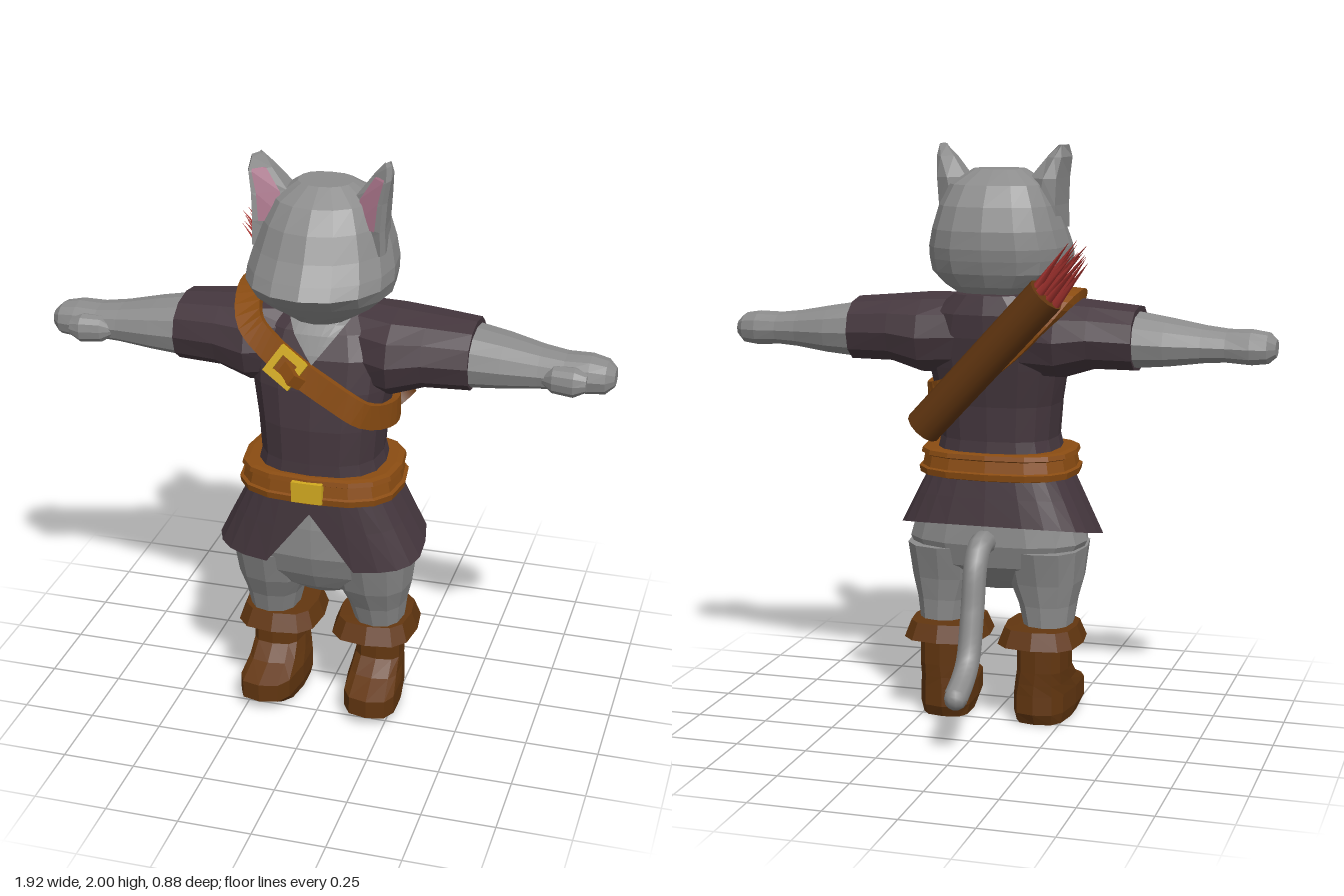
import * as THREE from 'three';

const mat = (name, color, side = THREE.FrontSide) => {
  const m = new THREE.MeshStandardMaterial({ color, side });
  m.name = name;
  return m;
};
const V = (x, y, z) => new THREE.Vector3(x, y, z);

// Rounded-box outline in the xz plane at height y
function ring(y, x0, x1, z0, z1, p = 2.5, n = 12, pFront = p) {
  return Array.from({ length: n }, (_, i) => {
    const a = (i / n) * Math.PI * 2, s = Math.sin(a), c = Math.cos(a);
    const e = 2 / (c > 0 ? pFront : p);
    return V((x0 + x1) / 2 + ((x1 - x0) / 2) * Math.sign(s) * Math.abs(s) ** e, y,
      (z0 + z1) / 2 + ((z1 - z0) / 2) * Math.sign(c) * Math.abs(c) ** e);
  });
}
// The same outline in the yz plane at position x
const ringX = (x, y0, y1, z0, z1, p = 2.3, n = 12) =>
  ring(x, y0, y1, z0, z1, p, n).map(v => V(v.y, v.x, v.z));

// Flat-faced geometry from triangles
function facets(tris) {
  const g = new THREE.BufferGeometry().setFromPoints(tris.flat());
  g.computeVertexNormals();
  return g;
}

// Capped skin over cross-sections, wound so that it faces outward
function loft(rings) {
  const tris = [], n = rings[0].length;
  for (let k = 0; k < rings.length - 1; k++) {
    for (let i = 0; i < n; i++) {
      const j = (i + 1) % n, a = rings[k], b = rings[k + 1];
      tris.push([a[i], a[j], b[j]], [a[i], b[j], b[i]]);
    }
  }
  [rings[0], rings[rings.length - 1]].forEach((r, end) => {
    const c = r.reduce((s, v) => s.add(v), V(0, 0, 0)).divideScalar(n);
    for (let i = 0; i < n; i++) {
      const j = (i + 1) % n;
      tris.push(end ? [c, r[i], r[j]] : [c, r[j], r[i]]);
    }
  });
  const volume = tris.reduce((s, [a, b, c]) => s + a.dot(b.clone().cross(c)), 0);
  return facets(volume < 0 ? tris.map(([a, b, c]) => [a, c, b]) : tris);
}

export function createModel() {
  const model = new THREE.Group();
  const fur = mat('grey fur', 0x8c8c8c), pink = mat('ear pink', 0xa9748a, THREE.DoubleSide);
  const cloth = mat('tunic cloth', 0x45373e, THREE.DoubleSide), belt = mat('belt leather', 0x8a4c12);
  const boot = mat('boot leather', 0x623610), gold = mat('buckle gold', 0xd2aa20);
  const red = mat('arrow red', 0xa83430);
  const furPlate = mat('chest fur', 0x8c8c8c, THREE.DoubleSide);
  furPlate.color.copy(fur.color);
  const add = (name, geo, material, parent = model) => {
    const m = new THREE.Mesh(geo, material);
    m.name = name;
    parent.add(m);
    return m;
  };

  // Head with a pointed muzzle: y, half width, back, front
  add('head', loft([
    [1.46, .05, .05, .22], [1.48, .11, -.01, .27], [1.53, .185, -.06, .34], [1.575, .232, -.085, .395],
    [1.62, .242, -.1, .44], [1.66, .24, -.108, .415], [1.72, .225, -.107, .375], [1.8, .2, -.085, .335],
    [1.87, .165, -.04, .28], [1.92, .09, .04, .2],
  ].map(([y, r, b, f]) => ring(y, -r, r, b, f, 2.6, 16, 2.1))), fur);

  // Torso: y, half width, back, front
  const torso = [[.88, .235, -.05, .325], [1, .205, -.04, .32], [1.12, .215, -.045, .32], [1.25, .24, -.07, .305],
    [1.36, .25, -.09, .285], [1.44, .22, -.095, .25], [1.505, .13, -.08, .17]];
  add('tunic', loft(torso.map(([y, r, b, f]) => ring(y, -r, r, b, f, 2.6, 16))), cloth);
  const chestZ = (x, y) => {
    const k = torso.findIndex((r, i) => i > 0 && y <= r[0]), a = torso[k - 1], b = torso[k];
    const [, r, back, front] = a.map((v, i) => v + (b[i] - v) * (y - a[0]) / (b[0] - a[0]));
    return (back + front) / 2 + (front - back) / 2 * (1 - Math.min(1, Math.abs(x / r)) ** 2.6) ** (1 / 2.6);
  };

  // V-shaped neckline lying on the chest
  const vee = [];
  const veePoint = (i, j) => {
    const y = 1.345 + .15 * i / 5, x = .115 * (i / 5) * (j / 3 - 1);
    return V(x, y, chestZ(x, y) + .007);
  };
  for (let i = 0; i < 5; i++) for (let j = 0; j < 6; j++) {
    const a = veePoint(i, j), b = veePoint(i, j + 1), c = veePoint(i + 1, j + 1), d = veePoint(i + 1, j);
    vee.push([a, c, d]);
    if (i) vee.push([a, b, c]);
  }
  add('neckline', facets(vee), furPlate);

  // Flared skirt with a notch at the front
  const skirt = [], cols = 24;
  const skirtPoint = (i, t) => {
    const k = i % cols, flat = ring(0, -.37, .37, -.09, .33, 3, cols)[k];
    const low = k === 0 ? .82 : .62 + (.33 - flat.z) * .22;
    const y = .9 + (low - .9) * t, f = (.9 - y) / .27;
    return ring(y, -.235 - .135 * f, .235 + .135 * f, -.05 - .04 * f, .328 + .006 * f, 3, cols)[k];
  };
  for (let i = 0; i < cols; i++) for (let k = 0; k < 2; k++) {
    const a = skirtPoint(i, k / 2), b = skirtPoint(i + 1, k / 2);
    const c = skirtPoint(i + 1, (k + 1) / 2), d = skirtPoint(i, (k + 1) / 2);
    skirt.push([a, d, c], [a, c, b]);
  }
  add('skirt', facets(skirt), cloth);

  // Hips
  add('hips', loft([[.46, .08, .06, .2], [.5, .17, .01, .25], [.56, .28, -.05, .285], [.64, .318, -.075, .312],
    [.75, .285, -.07, .312], [.88, .22, -.04, .3]].map(([y, r, b, f]) => ring(y, -r, r, b, f, 2.5, 16))), fur);

  // Belt with raised rims
  add('belt', loft([[.866, .262], [.87, .278], [.892, .282], [.896, .27], [.935, .262], [.94, .274], [.956, .27], [.96, .25]]
    .map(([y, r]) => ring(y, -r, r, .14 - r * .77, .14 + r * .77, 2.8, 16))), belt);
  add('beltBuckle', new THREE.BoxGeometry(.105, .072, .03), gold).position.set(0, .913, .348);

  // Paired parts
  for (const s of [1, -1]) {
    const side = s > 0 ? 'left' : 'right';
    const X = (x, ...r) => ringX(s * x, ...r);
    const Y = (y, x0, x1, ...r) => ring(y, s * x0, s * x1, ...r);
    add(side + 'Sleeve', loft([X(.1, 1.22, 1.5, -.08, .23), X(.24, 1.215, 1.495, -.1, .285),
      X(.35, 1.25, 1.485, -.085, .26), X(.5, 1.25, 1.472, -.065, .232)]), cloth);
    add(side + 'Arm', loft([X(.48, 1.258, 1.455, -.055, .222), X(.6, 1.268, 1.435, -.035, .21),
      X(.72, 1.283, 1.412, 0, .195), X(.8, 1.288, 1.402, .015, .19), X(.88, 1.282, 1.404, .02, .185),
      X(.935, 1.288, 1.395, .04, .175), X(.962, 1.312, 1.37, .07, .145)]), fur);
    add(side + 'Thumb', loft([X(.735, 1.32, 1.355, .15, .19), X(.77, 1.295, 1.385, .13, .215),
      X(.84, 1.29, 1.388, .13, .226), X(.88, 1.31, 1.37, .14, .21)]), fur);
    add(side + 'Leg', loft([Y(.62, .03, .318, -.07, .305), Y(.5, .05, .305, -.035, .265),
      Y(.42, .085, .285, -.02, .225), Y(.28, .12, .265, -.01, .18)]), fur);

    // Boot, turned slightly outward
    add(side + 'Boot', loft([[0, .09, .265, -.025, .24], [.04, .08, .275, -.045, .312], [.105, .08, .275, -.042, .312],
      [.145, .09, .27, -.04, .22], [.19, .1, .27, -.04, .16], [.3, .1, .27, -.04, .155]]
      .map(([y, ...r]) => Y(y, ...r, 3.2).map(v => v.setX(v.x + s * .08 * (v.z - .1))))), boot);
    add(side + 'BootCuff', loft([Y(.283, .05, .29, -.055, .19, 3), Y(.285, .022, .318, -.092, .238, 3),
      Y(.345, .045, .295, -.07, .21, 3), Y(.347, .09, .28, -.03, .19, 3)]), boot);

    // Ear: y, inner x, outer x, back, front
    const ear = [[1.72, .1, .222, .07, .24], [1.8, .085, .22, .055, .24], [1.89, .112, .225, .05, .232],
      [1.96, .165, .235, .08, .225], [2, .2, .23, .12, .2]];
    add(side + 'Ear', loft(ear.map(([y, i, o, b, f]) => [[i, f - .06], [o - .01, f], [o, f - .03],
      [o - .015, b + .02], [(i + o) / 2, b], [i, b + .04]].map(([x, z]) => V(s * x, y, z)))), fur);
    const inner = ear.slice(1).map(([y, i, o, , f], k) => [.2, .85].map(t =>
      V(s * (i + (o - .01 - i) * t), k === 3 ? 1.975 : y, f - .06 * (1 - t) + .006)));
    add(side + 'InnerEar', facets(inner.slice(1).flatMap((r, k) =>
      [[inner[k][0], inner[k][1], r[1]], [inner[k][0], r[1], r[0]]])), pink);
  }

  // Tail
  const tailPath = new THREE.CatmullRomCurve3([V(0, .65, -.03), V(0, .655, -.12), V(0, .6, -.175), V(0, .44, -.215),
    V(0, .29, -.265), V(0, .235, -.33), V(0, .2, -.41)]);
  add('tail', new THREE.TubeGeometry(tailPath, 20, .042, 10), fur);
  add('tailTip', new THREE.SphereGeometry(.04, 10, 8), fur).position.set(0, .2, -.405);

  // Shoulder strap: position and outward normal along a closed path
  const path = [
    [-.265, 1.512, .1, -.1, 1, 0], [-.215, 1.455, .258, -.1, .5, .85], [-.14, 1.39, .29, -.1, .3, .95],
    [-.06, 1.335, .305, 0, .2, 1], [.08, 1.25, .312, .1, .1, 1], [.175, 1.185, .285, .5, 0, .8],
    [.236, 1.145, .14, 1, 0, 0], [.205, 1.15, .0, .8, 0, -.6], [.1, 1.19, -.068, .1, 0, -1],
    [-.08, 1.32, -.1, 0, 0, -1], [-.2, 1.44, -.108, -.1, .3, -1], [-.265, 1.507, -.04, -.1, 1, -.3]];
  const course = new THREE.CatmullRomCurve3(path.map(p => V(p[0], p[1], p[2])), true);
  const facing = new THREE.CatmullRomCurve3(path.map(p => V(p[3], p[4], p[5])), true);
  add('strap', loft(Array.from({ length: 49 }, (_, i) => {
    const t = (i % 48) / 48, p = course.getPoint(t), n = facing.getPoint(t).normalize();
    const w = n.clone().cross(course.getTangent(t)).normalize();
    return [[-1, -.02], [1, -.02], [1, .013], [-1, .013]].map(([a, b]) =>
      p.clone().addScaledVector(w, a * .043).addScaledVector(n, b));
  })), belt);

  // Strap buckle with a folded strap end
  const buckle = new THREE.Group();
  buckle.name = 'strapBuckle';
  const square = (h) => [[-h, -h], [h, -h], [h, h], [-h, h]].map(([x, y]) => new THREE.Vector2(x, y));
  const frame = new THREE.Shape(square(.054));
  frame.holes.push(new THREE.Path(square(.03).reverse()));
  add('buckleFrame', new THREE.ExtrudeGeometry(frame, { depth: .022, bevelEnabled: false }), gold, buckle);
  const tab = add('strapEnd', new THREE.BoxGeometry(.075, .04, .022), belt, buckle);
  tab.position.set(.025, 0, .04);
  tab.rotation.y = -.7;
  const fold = add('strapFold', new THREE.BoxGeometry(.05, .04, .018), belt, buckle);
  fold.position.set(.06, 0, .057);
  fold.rotation.y = .8;
  buckle.position.set(-.08, 1.337, .308);
  buckle.rotation.set(-.25, 0, -.6);
  model.add(buckle);

  // Quiver and arrows, built upright and then leaned across the back
  const quiver = new THREE.Group();
  quiver.name = 'quiver';
  const low = V(.2, 1.055, -.13), high = V(-.245, 1.53, -.185), length = low.distanceTo(high);
  add('quiverTube', new THREE.CylinderGeometry(.066, .064, length, 12), boot, quiver);
  for (let i = 0; i < 14; i++) {
    const a = i * 2.4, r = .052 * Math.sqrt(i / 14);
    const arrow = add('arrowFeathers', new THREE.ConeGeometry(.016, .2, 4).toNonIndexed(), red, quiver);
    arrow.position.set(r * Math.cos(a), length / 2 + .075 + .015 * (i % 3), r * Math.sin(a));
    arrow.rotation.set(Math.sin(a) * .12, a, -Math.cos(a) * .12);
  }
  quiver.position.copy(low).lerp(high, .5);
  quiver.quaternion.setFromUnitVectors(V(0, 1, 0), high.clone().sub(low).normalize());
  model.add(quiver);

  return model;
}
